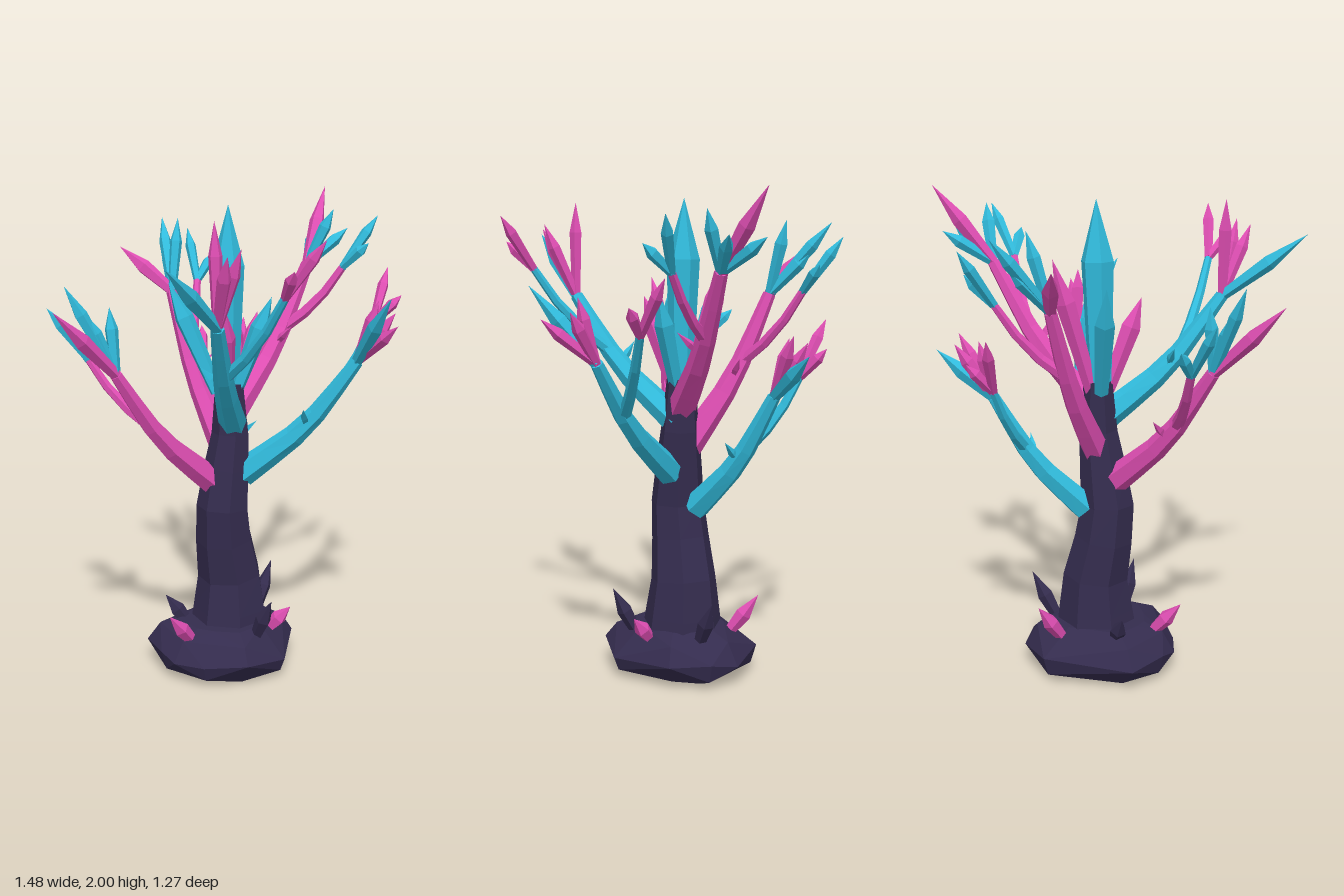
import * as THREE from 'three';
import { ConvexGeometry } from 'three/addons/geometries/ConvexGeometry.js';

const V = (x, y, z) => new THREE.Vector3(x, y, z);

// Faceted tube through centres, one radius per centre, closed at both ends
function loft(centres, radii, sides) {
  const n = centres.length;
  const rings = centres.map((c, i) => {
    const t = centres[Math.min(i + 1, n - 1)].clone().sub(centres[Math.max(i - 1, 0)]).normalize();
    const u = V(0, 0, 1).cross(t).normalize();
    const v = t.clone().cross(u);
    return Array.from({ length: sides }, (_, j) => {
      const a = (j / sides) * Math.PI * 2;
      return c.clone().addScaledVector(u, Math.cos(a) * radii[i]).addScaledVector(v, Math.sin(a) * radii[i]);
    });
  });
  const tris = [];
  for (let j = 0; j < sides; j++) {
    const k = (j + 1) % sides;
    tris.push(centres[0], rings[0][k], rings[0][j]);
    for (let i = 0; i < n - 1; i++) {
      const [a, b, c, d] = [rings[i][j], rings[i][k], rings[i + 1][k], rings[i + 1][j]];
      tris.push(a, b, c);
      if (radii[i + 1] > 0) tris.push(a, c, d);
    }
    if (radii[n - 1] > 0) tris.push(centres[n - 1], rings[n - 1][j], rings[n - 1][k]);
  }
  const g = new THREE.BufferGeometry().setFromPoints(tris);
  g.computeVertexNormals();
  return g;
}

// Pointed crystal that swells slightly before its tip
function shard(from, to, r, swell = 0.68, sides = 5) {
  return loft([from, from.clone().lerp(to, swell), to], [r * 0.7, r, 0], sides);
}

// Tapered limb along a curve
function limb(curve, r0, r1, steps) {
  const pts = curve.getPoints(steps);
  return loft(pts, pts.map((_, i) => r0 + (r1 - r0) * (i / steps)), 6);
}

// Curve that leaves outward first, then bends upward
function bend(from, to, sag) {
  const span = to.clone().sub(from).setY(0);
  const mid = from.clone().lerp(to, 0.5).addScaledVector(span, 0.06);
  mid.y -= sag;
  return new THREE.CatmullRomCurve3([from, mid, to]);
}

// Level direction at right angles to the run between two points
const across = (from, to) => V(from.z - to.z, 0, to.x - from.x).normalize();

export function createModel() {
  const model = new THREE.Group();
  const mat = (name, color) => {
    const m = new THREE.MeshStandardMaterial({ color });
    m.name = name;
    return m;
  };
  const dark = mat('dark violet stone', 0x342c4e);
  const cyan = mat('cyan crystal', 0x31bbdc);
  const pink = mat('magenta crystal', 0xdf4eb3);
  const add = (name, geo, material, parent = model) => {
    const mesh = new THREE.Mesh(geo, material);
    mesh.name = name;
    parent.add(mesh);
  };

  // Rock base: hull of an irregular outline repeated at several heights
  const outline = [[-0.18, -0.335], [0.2, -0.335], [0.34, -0.17], [0.345, -0.05], [0.28, 0.11],
    [0.03, 0.245], [-0.17, 0.2], [-0.26, 0.04], [-0.295, -0.09], [-0.27, -0.18]];
  const rock = [];
  outline.forEach(([x, z], i) => {
    const at = (s, y) => rock.push(V(0.03 + (x - 0.03) * s, y, -0.05 + (z + 0.05) * s));
    at(1, 0.1 + 0.015 * Math.sin(i * 2.3));
    if (i % 2) at(0.93, 0.032);
    else at(0.84, 0.178);
    at(0.68, i % 3 ? 0.012 : 0);
    at(0.58, 0.21);
  });
  add('rockBase', new ConvexGeometry(rock), dark);

  // Trunk: a gentle S bend, flared at the foot
  const trunk = [V(0.05, 0.12, -0.06), V(0.055, 0.25, -0.06), V(0.055, 0.4, -0.063), V(0.02, 0.57, -0.065),
    V(0.004, 0.72, -0.06), V(0.025, 0.88, -0.055), V(0.045, 1.03, -0.05), V(0.045, 1.24, -0.055)];
  add('trunk', loft(trunk, [0.178, 0.16, 0.138, 0.122, 0.112, 0.097, 0.08, 0.06], 7), dark);

  // Shards leaning out of the rock, given by their tips
  const rockCentre = V(0.03, 0, -0.05);
  [
    [V(-0.32, 0.315, -0.09), pink], [V(0.135, 0.28, 0.2), pink], [V(0.22, 0.335, -0.33), pink],
    [V(-0.035, 0.365, 0.22), dark], [V(0.345, 0.37, -0.05), dark], [V(-0.12, 0.3, -0.28), dark],
  ].forEach(([tip, m]) => {
    const root = rockCentre.clone().lerp(tip, 0.64).setY(0.17);
    add('rockShard', shard(root, tip, 0.034, 0.5), m);
  });

  // Crown: tall central crystal ringed by smaller ones
  const crown = new THREE.Group();
  crown.name = 'crown';
  model.add(crown);
  const crownRoot = V(0.035, 1.21, -0.06);
  add('crownCrystal', shard(crownRoot, V(0.048, 1.965, -0.065), 0.067, 0.68, 6), cyan, crown);
  [
    [V(0.19, 1.74, -0.185), pink], [V(-0.11, 1.57, 0.04), pink],
    [V(-0.06, 1.65, -0.29), cyan], [V(0.135, 1.6, 0.09), cyan],
  ].forEach(([tip, m]) => {
    const root = crownRoot.clone().lerp(tip, 0.18).setY(1.2);
    add('crownShard', shard(root, tip, 0.041), m, crown);
  });

  // Branch: limb with a tip, fork shards, a forked side limb and a thorn
  const branch = (color, other, start, node, tip, sideNode, ...forks) => {
    const g = new THREE.Group();
    g.name = 'branch';
    model.add(g);
    const main = bend(start, node, 0.03);
    add('limb', limb(main, 0.06, 0.026, 5), color, g);
    add('limbTip', shard(node, tip, 0.033, 0.55), color, g);
    forks.forEach((f) => add('forkShard', shard(node, f, 0.027), other, g));

    const sideStart = main.getPoint(0.6);
    add('sideLimb', limb(bend(sideStart, sideNode, 0.02), 0.026, 0.016, 3), color, g);
    const sideFan = across(sideStart, sideNode);
    const reach = sideNode.clone().sub(sideStart).normalize();
    for (const s of [-1, 1]) {
      const end = sideNode.clone().addScaledVector(reach, 0.18 - 0.03 * s).addScaledVector(sideFan, 0.06 * s);
      end.y += 0.03 - 0.03 * s;
      add('sideForkShard', shard(sideNode, end, 0.024), other, g);
    }

    const thornRoot = main.getPoint(0.5);
    const thornTip = thornRoot.clone().addScaledVector(across(start, node), 0.1);
    thornTip.y += 0.09;
    add('thorn', shard(thornRoot, thornTip, 0.016, 0.5, 4), color, g);
  };

  // Arguments: limb start, limb end, tip, side limb end, then fork tips
  branch(pink, cyan, V(0.04, 1.1, -0.05), V(0.51, 1.69, 0.01), V(0.74, 2, -0.055), V(0.49, 1.69, 0.2),
    V(0.71, 1.83, 0.085), V(0.57, 1.92, 0.1), V(0.69, 1.82, -0.08));
  branch(cyan, pink, V(0.05, 1.06, -0.04), V(-0.4, 1.56, 0.225), V(-0.735, 1.815, 0.26), V(-0.295, 1.68, 0.45),
    V(-0.41, 1.95, 0.22), V(-0.43, 1.86, 0.355), V(-0.49, 1.84, 0.34));
  branch(cyan, pink, V(0.06, 0.86, 0), V(0.28, 1.35, 0.41), V(0.155, 1.64, 0.63), V(0.52, 1.47, 0.34),
    V(0.35, 1.55, 0.54), V(0.24, 1.52, 0.615), V(0.3, 1.6, 0.49));
  branch(pink, cyan, V(-0.02, 0.82, -0.08), V(-0.46, 1.34, -0.225), V(-0.735, 1.615, -0.28), V(-0.415, 1.37, -0.41),
    V(-0.6, 1.69, -0.35), V(-0.45, 1.6, -0.26), V(-0.54, 1.58, -0.3));
  branch(pink, cyan, V(0.045, 0.95, -0.08), V(0.12, 1.58, -0.42), V(0.04, 1.76, -0.64), V(0.33, 1.6, -0.45),
    V(0.285, 1.87, -0.61), V(0.2, 1.88, -0.45), V(0.24, 1.76, -0.55));
  branch(cyan, pink, V(0.09, 0.71, -0.1), V(0.41, 1.2, -0.28), V(0.64, 1.38, -0.295), V(0.35, 1.26, -0.43),
    V(0.54, 1.42, -0.35), V(0.55, 1.45, -0.28), V(0.45, 1.43, -0.32));

  // Small bud on the front limb
  add('bud', shard(V(0.17, 1.03, 0.21), V(0.18, 1.13, 0.22), 0.014, 0.5, 4), pink);

  return model;
}
